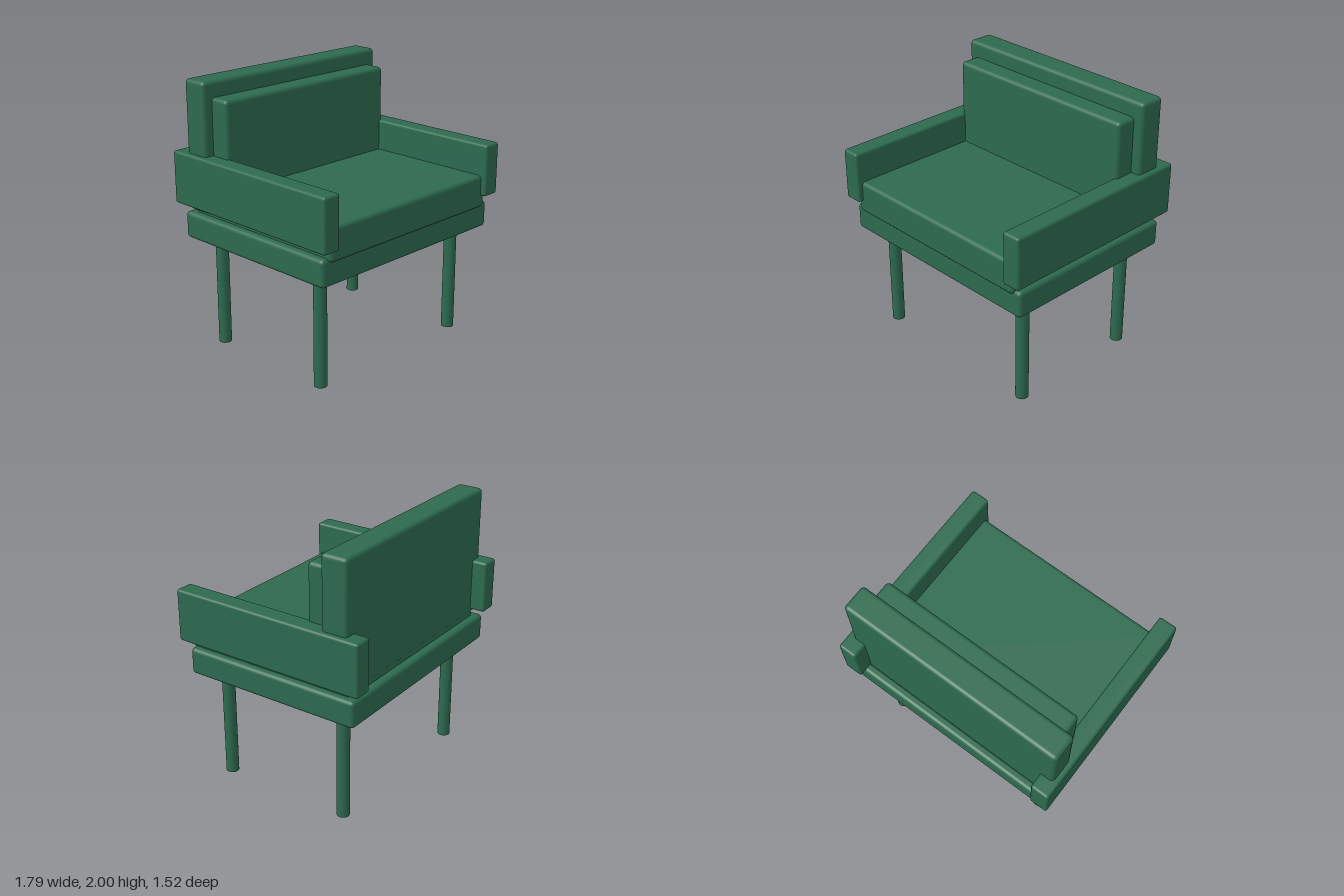
import * as THREE from 'three';
import { RoundedBoxGeometry } from 'three/addons/geometries/RoundedBoxGeometry.js';

export function createModel() {
  const chair = new THREE.Group();
  chair.name = 'armchair';

  const green = new THREE.MeshStandardMaterial({ color: 0x2d6a4f });
  green.name = 'green';

  const add = (name, geometry, x, y, z) => {
    const mesh = new THREE.Mesh(geometry, green);
    mesh.name = name;
    mesh.position.set(x, y, z);
    chair.add(mesh);
  };

  // Rounded block given by its extents on each axis
  const block = (name, [x0, x1], [y0, y1], [z0, z1], radius) =>
    add(name, new RoundedBoxGeometry(x1 - x0, y1 - y0, z1 - z0, 3, radius),
      (x0 + x1) / 2, (y0 + y1) / 2, (z0 + z1) / 2);

  // Seat
  block('seatBase', [-0.855, 0.855], [0.82, 1.02], [-0.7, 0.7], 0.03);
  block('seatCushion', [-0.8, 0.8], [0.99, 1.235], [-0.64, 0.72], 0.03);

  // Back
  block('backrest', [-0.855, 0.855], [1.05, 2], [-0.647, -0.445], 0.03);
  block('backCushion', [-0.785, 0.785], [1.2, 1.885], [-0.46, -0.29], 0.03);

  // Arms and legs, mirrored left and right
  for (const side of [1, -1]) {
    const label = side > 0 ? 'left' : 'right';
    const span = side > 0 ? [0.752, 0.895] : [-0.895, -0.752];
    block(`${label}Arm`, span, [1.08, 1.47], [-0.76, 0.76], 0.02);

    for (const end of [1, -1]) {
      add(`${label}${end > 0 ? 'Front' : 'Back'}Leg`,
        new THREE.CylinderGeometry(0.047, 0.047, 0.84, 24),
        side * 0.685, 0.42, end * 0.505);
    }
  }

  return chair;
}
